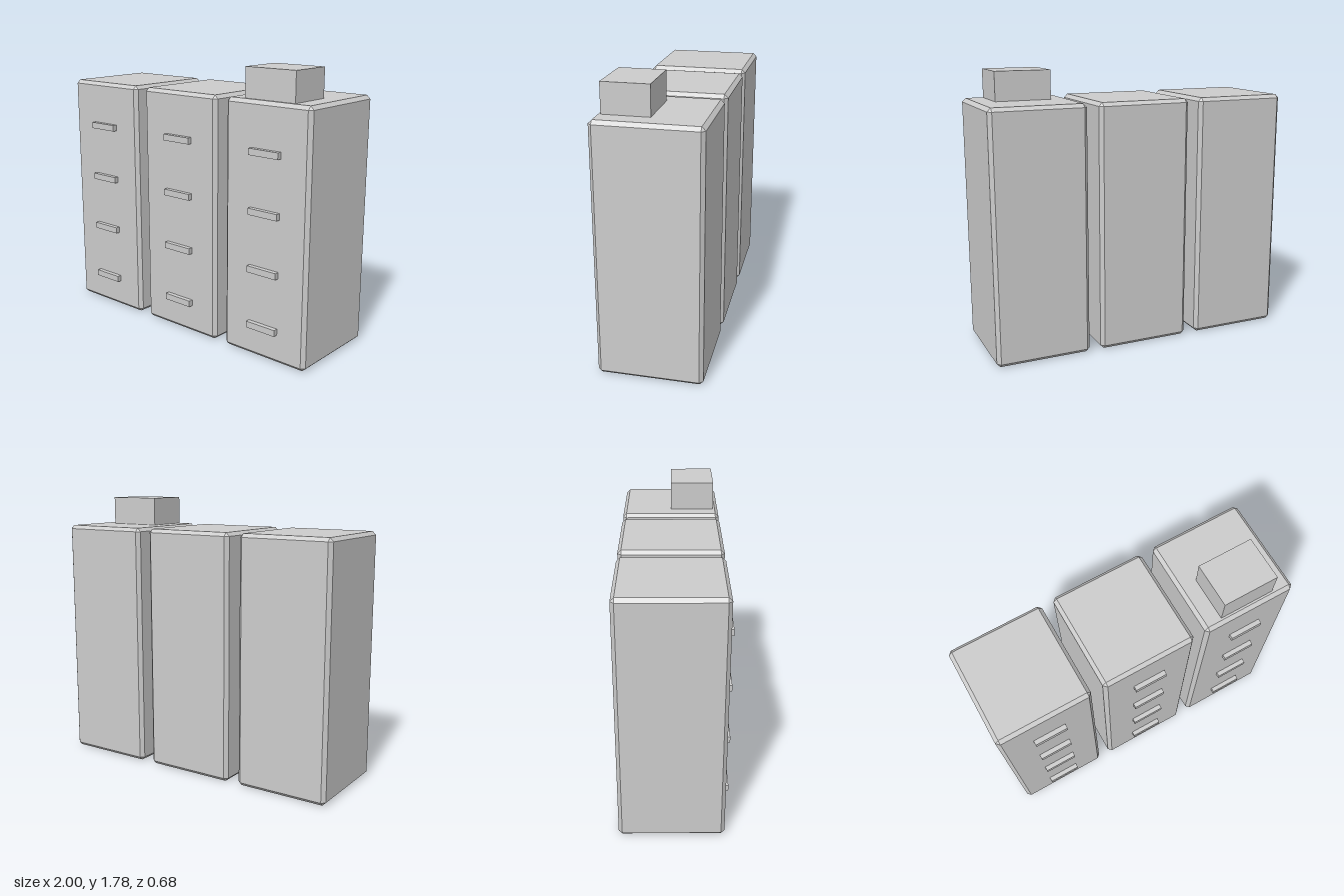
import * as THREE from 'three';
import { ConvexGeometry } from 'three/addons/geometries/ConvexGeometry.js';

// Box with flat chamfered edges and corners, centred on the origin
function chamferedBox(w, h, d, c) {
  const points = [];
  for (const sx of [-1, 1]) for (const sy of [-1, 1]) for (const sz of [-1, 1]) {
    const x = w / 2, y = h / 2, z = d / 2;
    points.push(
      new THREE.Vector3(sx * x, sy * (y - c), sz * (z - c)),
      new THREE.Vector3(sx * (x - c), sy * y, sz * (z - c)),
      new THREE.Vector3(sx * (x - c), sy * (y - c), sz * z)
    );
  }
  return new ConvexGeometry(points);
}

export function createModel() {
  const model = new THREE.Group();
  model.name = 'filingCabinets';

  const grey = new THREE.MeshStandardMaterial({ color: 0xcccccc });
  grey.name = 'lightGrey';

  const bodyGeometry = chamferedBox(0.615, 1.6, 0.652, 0.023);
  const handleGeometry = new THREE.BoxGeometry(0.215, 0.041, 0.04);

  function add(parent, name, geometry, x, y, z) {
    const mesh = new THREE.Mesh(geometry, grey);
    mesh.name = name;
    mesh.position.set(x, y, z);
    parent.add(mesh);
  }

  // Three cabinets, each with four drawer handles
  for (const x of [-0.6925, 0, 0.6925]) {
    const cabinet = new THREE.Group();
    cabinet.name = 'cabinet';
    cabinet.position.x = x;
    add(cabinet, 'cabinetBody', bodyGeometry, 0, 0.8, -0.015);
    for (let i = 0; i < 4; i++) {
      add(cabinet, 'drawerHandle', handleGeometry, 0, 0.208 + i * 0.364, 0.321);
    }
    model.add(cabinet);
  }

  // Storage box standing on the cabinet at +x
  add(model, 'storageBox', new THREE.BoxGeometry(0.36, 0.185, 0.288), 0.686, 1.6925, 0.131);

  return model;
}
